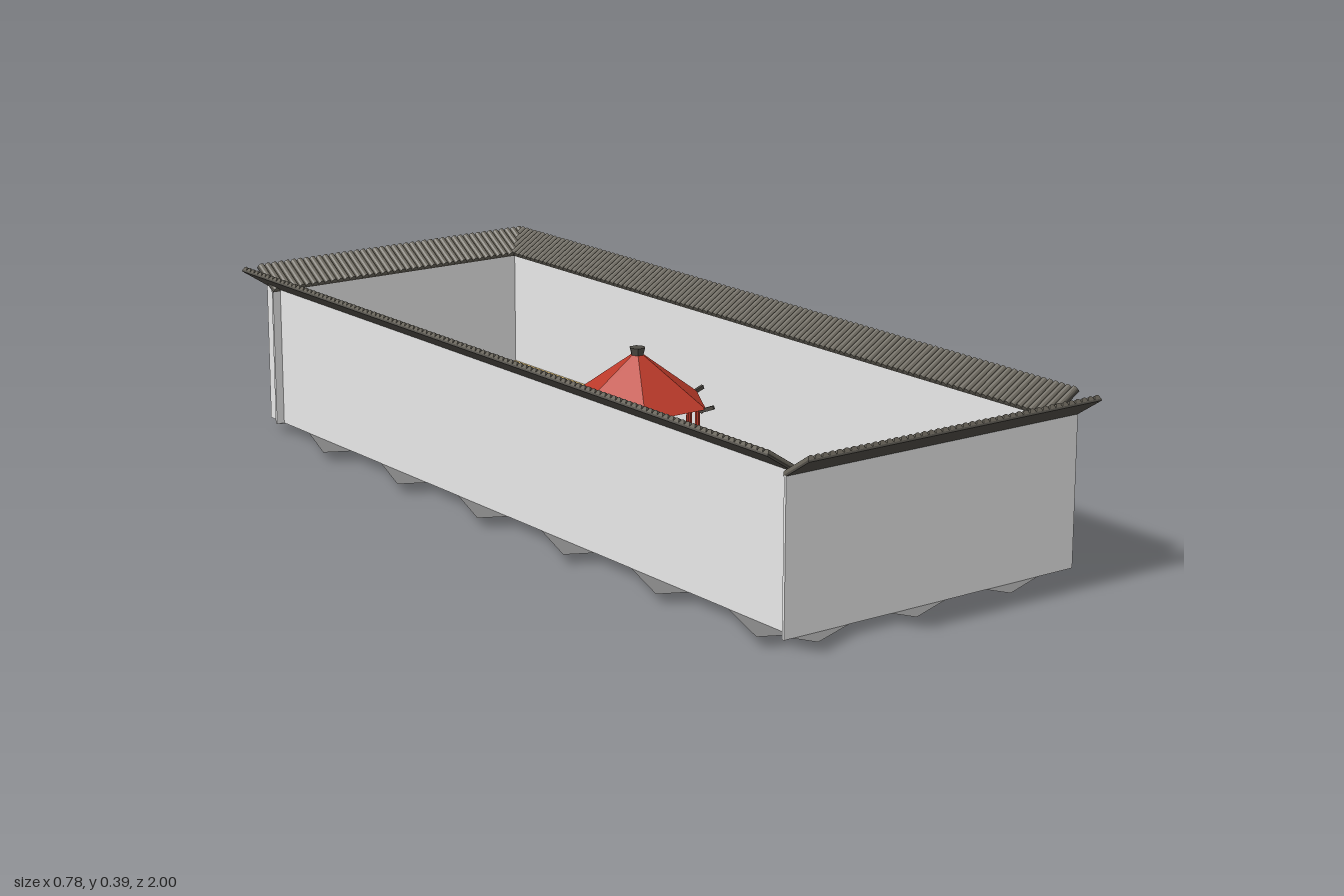
import * as THREE from 'three';

const mat = (name, color, opts = {}) => {
  const m = new THREE.MeshStandardMaterial({ color, ...opts });
  m.name = name;
  return m;
};

export function createModel() {
  const M = {
    wall: mat('white plaster', 0xffffff),
    sand: mat('sand', 0xccae6b),
    tile: mat('tile', 0x68645a),
    dark: mat('dark tile', 0x4e4b45, { flatShading: true, side: THREE.DoubleSide }),
    stone: mat('stone', 0xe6e6e6),
    red: mat('red', 0xbc3a2a, { flatShading: true }),
    maroon: mat('maroon', 0x3e2022, { flatShading: true }),
    slab: mat('slab grey', 0x808080, { flatShading: true, side: THREE.DoubleSide }),
  };
  const model = new THREE.Group();
  model.name = 'walledGarden';
  const add = (parent, name, geo, material, x = 0, y = 0, z = 0) => {
    const mesh = new THREE.Mesh(geo, material);
    mesh.name = name;
    mesh.position.set(x, y, z);
    parent.add(mesh);
    return mesh;
  };
  const box = (w, h, d) => new THREE.BoxGeometry(w, h, d);
  const base = 0.02;

  // broken paving edge: flat slivers along the foot of each wall
  const slivers = [];
  const sliver = (...pts) => slivers.push(new THREE.Shape(pts.map(([x, z]) => new THREE.Vector2(x, z))));
  for (const s of [1, -1]) {
    for (let i = 0; i < 6; i++) {
      const z = -0.92 + i * 0.31;
      sliver([s * 0.322, z], [s * 0.383, z + 0.03], [s * 0.322, z + 0.2]);
    }
    for (let i = 0; i < 3; i++) {
      const x = -0.34 + i * 0.24;
      sliver([x, s * 0.925], [x + 0.03, s * 0.98], [x + 0.17, s * 0.925]);
    }
  }
  add(model, 'pavingEdge', new THREE.ShapeGeometry(slivers).rotateX(-Math.PI / 2), M.slab, 0, base, 0);

  // four walls, overrunning one another at the corners
  const wallH = 0.315, wy = base + wallH / 2;
  add(model, 'frontWall', box(0.73, wallH, 0.006), M.wall, 0.01, wy, 0.933);
  add(model, 'backWall', box(0.73, wallH, 0.006), M.wall, 0.02, wy, -0.933);
  for (const s of [1, -1]) {
    add(model, s > 0 ? 'leftWall' : 'rightWall', box(0.006, wallH, 1.92), M.wall, s * 0.323, wy, -0.03);
  }

  // tiled copings, rising outwards: a sheet with rows of rounded tiles
  function coping(name, length, x, z, turn) {
    const g = new THREE.Group();
    g.name = name;
    const tilt = new THREE.Group();
    tilt.rotation.x = -0.57;
    g.add(tilt);
    const n = Math.round(length / 0.0168), p = length / n, depth = 0.083;
    const s = new THREE.Shape();
    s.moveTo(-length / 2, 0);
    s.lineTo(length / 2, 0);
    for (let i = n - 1; i >= 0; i--) {
      const c = -length / 2 + (i + 0.5) * p;
      for (let k = 0; k <= 6; k++) {
        const a = (k / 6) * Math.PI;
        s.lineTo(c + Math.cos(a) * p * 0.43, 0.001 + Math.sin(a) * 0.008);
      }
    }
    s.lineTo(-length / 2, 0.001);
    add(tilt, 'tiles', new THREE.ExtrudeGeometry(s, { depth, bevelEnabled: false }), M.tile);
    add(tilt, 'tileBed', box(length, 0.004, depth), M.dark, 0, -0.002, depth / 2);
    g.position.set(x, 0.334, z);
    g.rotation.y = turn;
    model.add(g);
  }
  coping('frontCoping', 0.73, 0.01, 0.928, 0);
  coping('backCoping', 0.73, 0.02, -0.928, Math.PI);
  coping('leftCoping', 1.915, 0.316, -0.033, Math.PI / 2);
  coping('rightCoping', 1.915, -0.318, -0.033, -Math.PI / 2);

  // raised platforms and arched gates at both ends
  const arch = (C, r, bottom, spring) => {
    const s = new C();
    s.moveTo(-r, bottom);
    s.lineTo(r, bottom);
    s.lineTo(r, spring);
    s.absarc(0, spring, r, 0, Math.PI, false);
    s.closePath();
    return s;
  };
  const gate = arch(THREE.Shape, 0.035, 0, 0.08);
  gate.holes.push(arch(THREE.Path, 0.023, 0.01, 0.08));
  const gateGeo = new THREE.ExtrudeGeometry(gate, { depth: 0.008, bevelEnabled: false, curveSegments: 8 });
  for (const s of [1, -1]) {
    const end = s > 0 ? 'front' : 'back';
    add(model, end + 'Platform', box(0.64, 0.052, 0.32), M.sand, 0, base + 0.026, s * 0.77);
    add(model, end + 'Gate', gateGeo, M.red, 0, 0.072, s * 0.928 - 0.004);
  }

  // stepping stones: [half width, half length, seed, flat side]
  const kinds = [[0.043, 0.057, 1, 1], [0.046, 0.057, 2.6, 1], [0.058, 0.052, 4, 0.75]];
  const places = [[-0.515, 0], [-0.385, 1], [-0.255, 2], [0.248, 1], [0.385, 0], [0.515, 2]];
  for (const [z, kind] of places) {
    const [rx, rz, seed, flat] = kinds[kind];
    const geo = new THREE.SphereGeometry(1, 20, 12);
    const p = geo.attributes.position;
    for (let i = 0; i < p.count; i++) {
      const a = p.getX(i), b = p.getY(i), c = p.getZ(i);
      const k = 1 + 0.14 * Math.sin(2.2 * a + seed) * Math.cos(1.9 * c - seed) + 0.06 * Math.sin(3 * b + 2 * a + seed);
      p.setXYZ(i, a * k * rx, b * k * 0.021, Math.min(c * k, flat) * rz);
    }
    geo.computeVertexNormals();
    add(model, 'steppingStone', geo, M.stone, 0, 0.022, z);
  }

  // six-sided pavilion
  const pav = new THREE.Group();
  pav.name = 'pavilion';
  model.add(pav);
  const hex = (rt, rb, h, open = false) => new THREE.CylinderGeometry(rt, rb, h, 6, 1, open, Math.PI / 6);
  add(pav, 'pavilionFloor', hex(0.159, 0.159, 0.006), M.stone, 0, 0.018, 0);
  add(pav, 'roof', hex(0.012, 0.158, 0.105, true), M.red, 0, 0.27, 0);
  add(pav, 'roofUnderside', hex(0.008, 0.152, 0.1), M.maroon, 0, 0.2665, 0);
  add(pav, 'finial', hex(0.018, 0.014, 0.016), M.dark, 0, 0.329, 0);
  for (let i = 0; i < 6; i++) {
    const side = new THREE.Group();
    side.name = 'pavilionSide';
    side.rotation.y = (i * Math.PI) / 3;
    pav.add(side);
    // railing panel
    add(side, 'railing', box(0.15, 0.083, 0.006), M.maroon, 0, 0.0625, 0.128);
    // corner post, roof ridge and its upturned tip
    const corner = new THREE.Group();
    corner.name = 'corner';
    corner.rotation.y = Math.PI / 6;
    side.add(corner);
    add(corner, 'post', new THREE.CylinderGeometry(0.006, 0.006, 0.205, 8), M.red, 0, 0.1225, 0.138);
    const ridge = add(corner, 'ridge', box(0.007, 0.008, 0.17), M.dark, 0, 0.261, 0.082);
    ridge.rotation.x = Math.atan2(0.105, 0.146);
    const tip = add(corner, 'ridgeTip', box(0.007, 0.008, 0.03), M.dark, 0, 0.219, 0.161);
    tip.rotation.x = -0.35;
  }
  return model;
}
